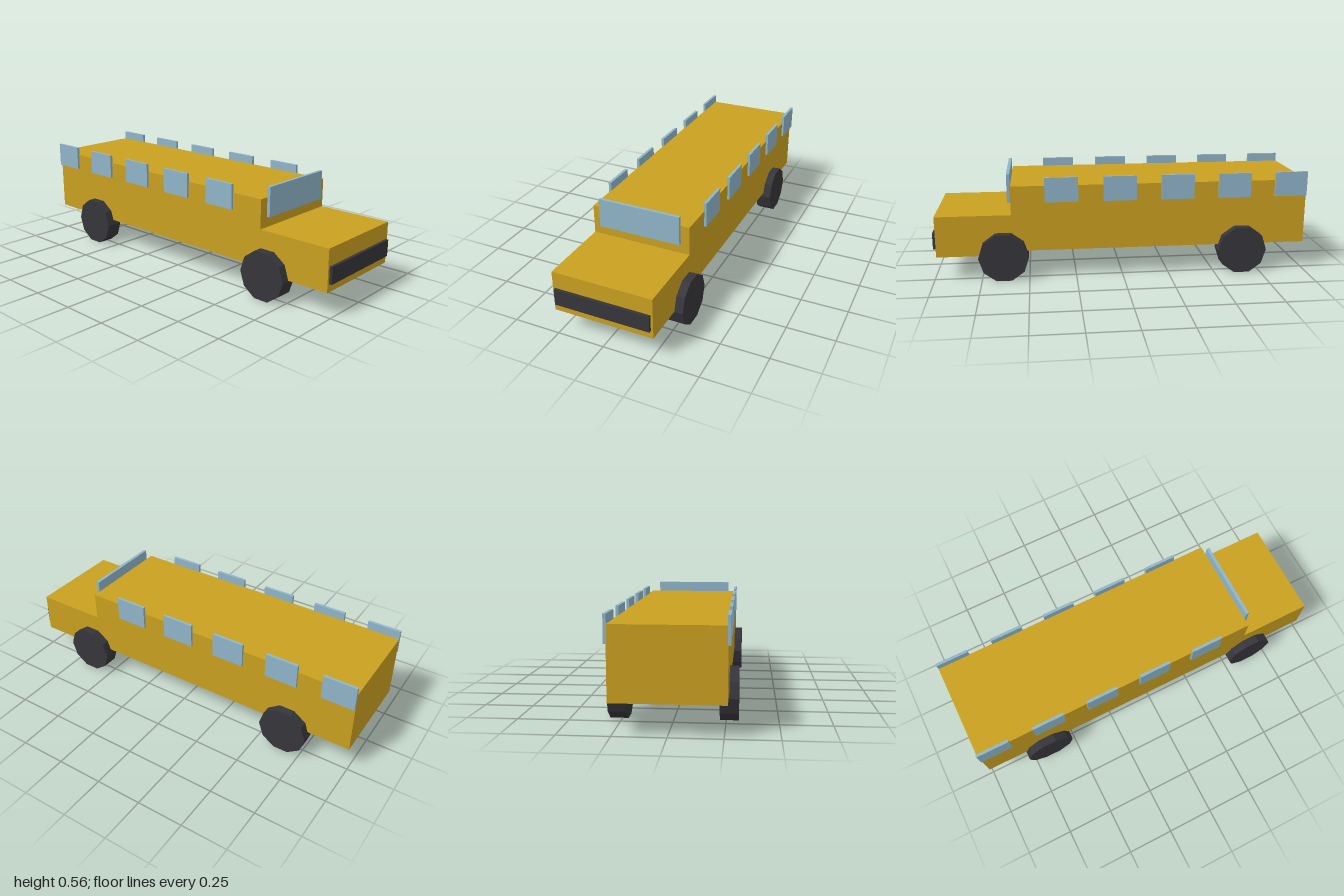
import * as THREE from 'three';

const yellow = new THREE.MeshStandardMaterial({ color: 0xc9a020 });
yellow.name = 'bodyYellow';
const glass = new THREE.MeshStandardMaterial({ color: 0x8fb5c9 });
glass.name = 'paleBlueGlass';
const dark = new THREE.MeshStandardMaterial({ color: 0x36353b });
dark.name = 'darkRubber';

// Box given by its lower and upper limits on each axis
function box(name, material, [x0, x1], [y0, y1], [z0, z1]) {
  const mesh = new THREE.Mesh(new THREE.BoxGeometry(x1 - x0, y1 - y0, z1 - z0), material);
  mesh.position.set((x0 + x1) / 2, (y0 + y1) / 2, (z0 + z1) / 2);
  mesh.name = name;
  return mesh;
}

export function createModel() {
  const bus = new THREE.Group();
  bus.name = 'bus';

  // Long cabin, lower hood and front grille
  bus.add(
    box('cabin', yellow, [-0.265, 0.265], [0.15, 0.5], [-1, 0.588]),
    box('hood', yellow, [-0.265, 0.265], [0.128, 0.347], [0.588, 0.985]),
    box('grille', dark, [-0.253, 0.253], [0.17, 0.258], [0.975, 1]),
    box('windshield', glass, [-0.22, 0.22], [0.402, 0.556], [0.591, 0.608])
  );

  // Ten-sided wheels with flat tops and bottoms
  const radius = 0.132;
  const wheelGeometry = new THREE.CylinderGeometry(radius, radius, 0.089, 10).toNonIndexed();
  wheelGeometry.rotateZ(Math.PI / 2);
  wheelGeometry.computeVertexNormals();

  for (const side of [1, -1]) {
    const label = side > 0 ? 'left' : 'right';

    // Five raised windows along each side
    for (let i = 0; i < 5; i++) {
      const z = 0.323 - i * 0.3088;
      const pane = box(label + 'Window' + (i + 1), glass, [0.262, 0.277], [0.413, 0.545], [z - 0.088, z + 0.088]);
      pane.position.x *= side;
      bus.add(pane);
    }

    for (const [end, z] of [['Front', 0.633], ['Rear', -0.648]]) {
      const wheel = new THREE.Mesh(wheelGeometry, dark);
      wheel.position.set(side * 0.265, radius * Math.cos(Math.PI / 10), z);
      wheel.name = label + end + 'Wheel';
      bus.add(wheel);
    }
  }
  return bus;
}
